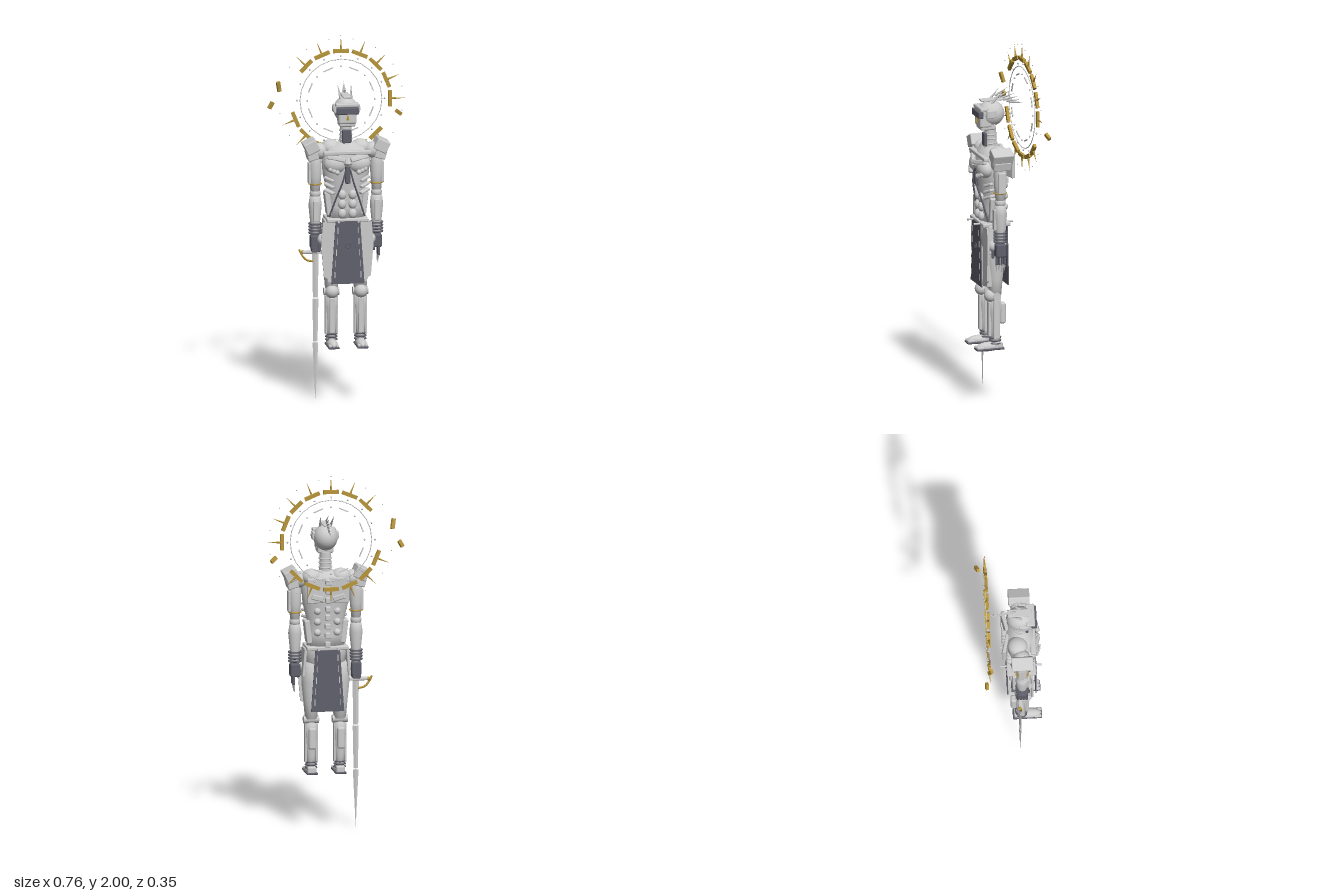
import * as THREE from 'three';
import { RoundedBoxGeometry } from 'three/addons/geometries/RoundedBoxGeometry.js';

const mat = (color, flat = false) =>
  new THREE.MeshStandardMaterial({ color, flatShading: flat, side: THREE.DoubleSide });
const grey = mat(0xcccccc), dark = mat(0x60606c), gold = mat(0xb8963c, true);

function add(parent, name, geo, p, { r = [0, 0, 0], s = [1, 1, 1], m = grey } = {}) {
  const mesh = new THREE.Mesh(geo, m);
  mesh.name = name;
  mesh.position.set(...p);
  mesh.rotation.set(...r);
  mesh.scale.set(...s);
  parent.add(mesh);
  return mesh;
}
const box = (w, h, d) => new THREE.BoxGeometry(w, h, d);
const rbox = (w, h, d, r = 0.006) => new RoundedBoxGeometry(w, h, d, 2, r);
const cyl = (a, b, h, n = 16) => new THREE.CylinderGeometry(a, b, h, n);
const ball = (r = 1) => new THREE.SphereGeometry(r, 20, 14);
const ring = (r, t) => new THREE.TorusGeometry(r, t, 8, 24);
const lathe = (pts, n = 24) => new THREE.LatheGeometry(pts.map(p => new THREE.Vector2(...p)), n);
const tube = (pts, r) => new THREE.TubeGeometry(
  new THREE.CatmullRomCurve3(pts.map(p => new THREE.Vector3(...p))), 16, r, 6);
const plate = (pts, d) => new THREE.ExtrudeGeometry(
  new THREE.Shape(pts.map(p => new THREE.Vector2(...p))), { depth: d, bevelEnabled: false });

function group(parent, name, x = 0, y = 0, z = 0) {
  const g = new THREE.Group();
  g.name = name;
  g.position.set(x, y, z);
  parent.add(g);
  return g;
}

function buildHalo(root) {
  const halo = group(root, 'halo', 0.022, 1.637, -0.123);
  add(halo, 'haloRing', ring(0.227, 0.0022).clone(), [0, 0, 0]);
  // floating segments, knocked loose at three places
  const loose = { 7: [-0.345, 0.083, 0, 1.75], 8: [-0.385, -0.025, -0.022, 1.05], 15: [0.325, -0.088, -0.04, -0.7] };
  for (let i = 0; i < 16; i++) {
    const a = i * Math.PI / 8, c = Math.cos(a), s = Math.sin(a);
    const l = loose[i];
    if (l) add(halo, 'looseSegment', box(i === 7 ? 0.058 : 0.04, 0.02, 0.016), l.slice(0, 3), { r: [0.2, 0.3, l[3]], m: gold });
    else {
      add(halo, 'haloSegment', box(0.088, 0.02, 0.016), [c * 0.272, s * 0.272, 0], { r: [0, 0, a - Math.PI / 2], m: gold });
      add(halo, 'haloSpike', new THREE.ConeGeometry(0.007, 0.08, 6), [c * 0.314, s * 0.314, 0], { r: [0, 0, a - Math.PI / 2], m: gold });
    }
    const b = a + Math.PI / 16;
    add(halo, 'outerBead', ball(0.003), [Math.cos(b) * 0.345, Math.sin(b) * 0.345, 0.004]);
    add(halo, 'innerBead', ball(0.005), [c * 0.243, s * 0.243, -0.008]);
    if (i % 2) add(halo, 'innerDash', box(0.055, 0.006, 0.006), [c * 0.183, s * 0.183, 0], { r: [0, 0, a - Math.PI / 2] });
    else add(halo, 'dashBead', ball(0.005), [c * 0.187, s * 0.187, 0]);
  }
  add(halo, 'topBead', ball(0.003), [0, 0.36, 0]);
}

function buildHead(body) {
  const head = group(body, 'head');
  add(head, 'skull', ball(), [0, 1.62, 0.058], { s: [0.067, 0.072, 0.076] });
  add(head, 'browPlate', rbox(0.13, 0.02, 0.05), [0, 1.655, 0.112]);
  add(head, 'visor', rbox(0.124, 0.038, 0.03), [0, 1.625, 0.133], { m: dark });
  add(head, 'face', rbox(0.1, 0.07, 0.07, 0.012), [0, 1.585, 0.1]);
  add(head, 'nose', new THREE.ConeGeometry(0.009, 0.035, 4), [0, 1.592, 0.14], { m: gold });
  add(head, 'jaw', rbox(0.09, 0.04, 0.085, 0.01), [0, 1.553, 0.085]);
  add(head, 'crownPlate', rbox(0.045, 0.01, 0.13, 0.004), [0, 1.697, 0.055]);
  for (const s of [-1, 1]) {
    add(head, 'earBlock', rbox(0.02, 0.045, 0.055), [s * 0.063, 1.63, 0.075]);
    add(head, 'earDisc', cyl(0.018, 0.018, 0.012), [s * 0.07, 1.63, 0.075], { r: [0, 0, Math.PI / 2] });
    add(head, 'horn', new THREE.ConeGeometry(0.009, 0.1, 4), [s * 0.033, 1.716, 0.03], { r: [-0.75, 0, -s * 0.1] });
  }
  // swept-back crest blades
  for (let i = 0; i < 6; i++)
    add(head, 'crestBlade', new THREE.ConeGeometry(0.008, 0.085, 4), [0, 1.738 - i * 0.014, -0.004 - i * 0.018],
      { r: [-1.05 - i * 0.13, 0, 0], s: [0.7, 1, 1] });
  add(head, 'neck', cyl(0.031, 0.036, 0.15), [0, 1.465, 0.06]);
  for (let i = 0; i < 4; i++) add(head, 'neckRing', ring(0.034, 0.004), [0, 1.43 + i * 0.025, 0.06], { r: [Math.PI / 2, 0, 0] });
  add(head, 'neckGuard', rbox(0.05, 0.075, 0.018), [0, 1.475, 0.094], { m: dark });
}

function buildTorso(body) {
  const torso = group(body, 'torso');
  const shell = lathe([[0, 1], [0.108, 1], [0.1, 1.08], [0.106, 1.17], [0.128, 1.26], [0.135, 1.35], [0.11, 1.41], [0.04, 1.44], [0, 1.44]]);
  add(torso, 'ribcage', shell, [0, 0, 0.058], { s: [1, 1, 0.62] });
  add(torso, 'collarBar', rbox(0.265, 0.022, 0.03), [0, 1.39, 0.125]);
  add(torso, 'chestJewel', new THREE.OctahedronGeometry(0.03), [0, 1.335, 0.145], { s: [1, 1.1, 0.7] });
  add(torso, 'sternum', rbox(0.03, 0.1, 0.02), [0, 1.27, 0.14], { m: dark });
  for (const s of [-1, 1]) {
    add(torso, 'trapezius', ball(), [s * 0.082, 1.405, 0.04], { s: [0.055, 0.045, 0.055] });
    add(torso, 'pectoral', ball(), [s * 0.064, 1.325, 0.112], { s: [0.066, 0.052, 0.046] });
    add(torso, 'pectoralPlate', rbox(0.105, 0.025, 0.02), [s * 0.063, 1.362, 0.142], { r: [-0.3, s * 0.25, s * 0.25] });
    for (let i = 0; i < 3; i++) {
      add(torso, 'underChestBead', ball(0.014), [s * (0.06 + i * 0.018), 1.285 + i * 0.008, 0.152 - i * 0.006]);
      add(torso, 'abdominal', ball(), [s * 0.029, 1.155 - i * 0.053, 0.121], { s: [0.023, 0.027, 0.02] });
      add(torso, 'rib', rbox(0.06, 0.016, 0.06), [s * 0.09, 1.24 - i * 0.035, 0.09], { r: [0, s * 0.5, s * 0.35] });
      add(torso, 'backStud', ball(0.02), [s * 0.055, 1.22 - i * 0.06, -0.003]);
    }
    add(torso, 'chestCable', tube([[s * 0.012, 1.3, 0.152], [s * 0.03, 1.23, 0.15], [s * 0.062, 1.14, 0.128], [s * 0.098, 1.03, 0.105]], 0.005), [0, 0, 0], { m: dark });
    add(torso, 'flankPlate', rbox(0.03, 0.13, 0.08), [s * 0.1, 1.1, 0.058], { r: [0, 0, -s * 0.12] });
    add(torso, 'shoulderBlade', rbox(0.11, 0.14, 0.02), [s * 0.064, 1.34, -0.024], { r: [0, s * 0.22, 0] });
    add(torso, 'bladeRidge', rbox(0.07, 0.03, 0.014), [s * 0.06, 1.3, -0.035], { r: [0, s * 0.22, s * 0.3] });
  }
  for (let i = 0; i < 8; i++) add(torso, 'vertebra', rbox(0.03, 0.032, 0.026), [0, 1.385 - i * 0.05, i < 4 ? -0.03 : -0.014]);
}

function buildWaist(body) {
  const waist = group(body, 'waist');
  add(waist, 'pelvis', lathe([[0, 0.84], [0.06, 0.85], [0.11, 0.93], [0.118, 1], [0.1, 1.02], [0, 1.02]]), [0, 0, 0.06], { s: [1, 1, 0.62] });
  add(waist, 'belt', rbox(0.23, 0.022, 0.16), [0, 1.012, 0.06]);
  const cloth = [[-0.068, 1.01], [-0.092, 0.66], [0.092, 0.66], [0.068, 1.01]];
  for (const z of [0.137, -0.018]) add(waist, 'skirtPanel', plate(cloth, 0.006), [0, 0, z], { m: dark });
  add(waist, 'skirtEmblemRing', ring(0.014, 0.003), [0, 0.875, 0.145], { m: dark });
  for (const s of [-1, 1]) {
    for (const z of [0.155, -0.032])
      add(waist, 'beltPin', cyl(0.006, 0.006, 0.04, 8), [s * 0.055, 1.012, z], { r: [Math.PI / 2, 0, 0] });
    for (const z of [0.146, -0.021]) for (let i = 0; i < 5; i++)
      add(waist, 'skirtStitch', box(0.004, 0.035, 0.003), [s * (0.056 + i * 0.004), 0.96 - i * 0.062, z]);
    const guard = plate([[-0.04, 1], [-0.035, 0.66], [0.03, 0.7], [0.045, 0.88], [0.035, 1]], 0.012);
    add(waist, 'hipGuard', guard, [s * 0.1, 0, 0.112], { s: [s, 1, 1] });
    add(waist, 'sideGuard', rbox(0.016, 0.16, 0.1), [s * 0.122, 0.93, 0.06], { r: [0, 0, s * 0.08] });
    add(waist, 'hipJoint', ball(0.032), [s * 0.13, 0.9, 0.085]);
  }
}

function buildLeg(body, s) {
  const leg = group(body, s > 0 ? 'leftLeg' : 'rightLeg', s * 0.08, 0, 0.06);
  add(leg, 'thigh', lathe([[0, 0.6], [0.034, 0.61], [0.042, 0.7], [0.054, 0.82], [0.048, 0.92], [0, 0.95]], 20), [0, 0, 0]);
  add(leg, 'thighPlate', rbox(0.06, 0.2, 0.03), [0, 0.76, 0.04]);
  add(leg, 'knee', ball(0.037), [0, 0.607, 0.025]);
  add(leg, 'kneeAxle', cyl(0.022, 0.022, 0.085), [0, 0.605, 0], { r: [0, 0, Math.PI / 2] });
  add(leg, 'shin', lathe([[0, 0.34], [0.022, 0.34], [0.025, 0.4], [0.036, 0.52], [0.032, 0.58], [0, 0.6]], 20), [0, 0, 0]);
  add(leg, 'shinPlate', rbox(0.03, 0.2, 0.02), [0, 0.475, 0.032]);
  add(leg, 'calfPack', rbox(0.042, 0.12, 0.034, 0.012), [0, 0.505, -0.042]);
  for (const t of [-1, 1]) add(leg, 'shinRail', rbox(0.012, 0.22, 0.035, 0.004), [t * 0.03, 0.475, 0]);
  for (let i = 0; i < 3; i++) add(leg, 'ankleRing', ring(0.031, 0.004), [0, 0.337 + i * 0.016, 0], { r: [Math.PI / 2, 0, 0], m: dark });
  // foot
  add(leg, 'sole', rbox(0.062, 0.012, 0.16, 0.005), [0, 0.307, 0.033], { m: dark });
  add(leg, 'instep', ball(), [0, 0.318, 0.04], { s: [0.029, 0.026, 0.068] });
  add(leg, 'heel', rbox(0.05, 0.04, 0.05, 0.01), [0, 0.325, -0.015]);
  for (let i = -1; i <= 1; i++) add(leg, 'toe', rbox(0.017, 0.016, 0.04), [i * 0.02, 0.316, 0.09]);
}

function buildArm(body, s) {
  const arm = group(body, s > 0 ? 'leftArm' : 'rightArm', s * 0.17, 0, 0.06);
  add(arm, 'shoulderJoint', ball(0.046), [-s * 0.022, 1.39, -0.002]);
  add(arm, 'shoulderPad', rbox(0.075, 0.065, 0.118), [s * 0.024, 1.42, 0], { r: [0, 0, -s * 0.45] });
  add(arm, 'shoulderPadLower', rbox(0.06, 0.05, 0.1), [s * 0.018, 1.372, 0], { r: [0, 0, -s * 0.25] });
  add(arm, 'upperArm', lathe([[0, 1.17], [0.026, 1.17], [0.034, 1.25], [0.036, 1.32], [0.026, 1.38], [0, 1.39]], 20), [0, 0, 0]);
  add(arm, 'upperArmPlate', rbox(0.016, 0.12, 0.045), [s * 0.032, 1.27, 0]);
  add(arm, 'armBand', ring(0.034, 0.004), [0, 1.21, 0], { r: [Math.PI / 2, 0, 0], m: gold });
  add(arm, 'elbow', ball(0.03), [0, 1.155, 0]);
  add(arm, 'forearm', lathe([[0, 0.93], [0.024, 0.93], [0.028, 1], [0.037, 1.09], [0.03, 1.14], [0, 1.15]], 20), [0, 0, 0]);
  add(arm, 'forearmPlate', rbox(0.03, 0.12, 0.016), [0, 1.06, 0.032]);
  for (let i = 0; i < 4; i++)
    add(arm, 'wristRing', ring(0.033, 0.005), [0, 0.935 + i * 0.017, 0], { r: [Math.PI / 2, 0, 0], m: dark });
  add(arm, 'palm', rbox(0.056, 0.075, 0.06, 0.01), [0, 0.885, 0], { m: dark });
  add(arm, 'thumb', rbox(0.014, 0.05, 0.016), [-s * 0.02, 0.86, 0.035], { m: dark });
  for (let i = 0; i < 4; i++) { // fingers hang on the left, grip on the right
    const z = -0.024 + i * 0.016;
    if (s > 0) {
      add(arm, 'finger', rbox(0.014, 0.05, 0.013, 0.004), [0.01, 0.83, z], { m: dark });
      add(arm, 'fingertip', new THREE.ConeGeometry(0.006, 0.05, 6), [0.006, 0.785, z], { r: [Math.PI, 0, 0.1] });
    } else add(arm, 'finger', rbox(0.045, 0.03, 0.013, 0.004), [0, 0.845, z], { m: dark });
  }
}

function buildSword(root) {
  const sword = group(root, 'sword', -0.145, 0, 0.05);
  // four-sided blade, split into slightly parted shards
  for (const [y0, y1, w0, w1] of [[0.57, 0.82, 0.014, 0.018], [0.325, 0.563, 0.012, 0.017], [0, 0.318, 0.0005, 0.016]])
    add(sword, 'bladeShard', cyl(w1, w0, y1 - y0, 4), [0, (y0 + y1) / 2, 0], { s: [1, 1, 0.45], m: mat(0xcccccc, true) });
  add(sword, 'grip', cyl(0.009, 0.009, 0.16, 10), [0, 0.89, 0]);
  add(sword, 'pommel', ball(0.014), [0, 0.975, 0], { m: gold });
  add(sword, 'crossGuard', rbox(0.11, 0.018, 0.024), [-0.018, 0.825, 0]);
  add(sword, 'guardHook', tube([[-0.09, 0.84, 0], [-0.075, 0.81, 0], [-0.05, 0.782, 0], [-0.012, 0.772, 0]], 0.006), [0, 0, 0], { m: gold });
  add(sword, 'guardStud', ball(0.011), [-0.07, 0.825, -0.004], { m: gold });
}

export function createModel() {
  const root = new THREE.Group();
  root.name = 'haloedKnight';
  const body = group(root, 'body', 0.022);
  buildHalo(root);
  buildHead(body);
  buildTorso(body);
  buildWaist(body);
  for (const s of [-1, 1]) {
    buildLeg(body, s);
    buildArm(body, s);
  }
  buildSword(root);
  return root;
}
